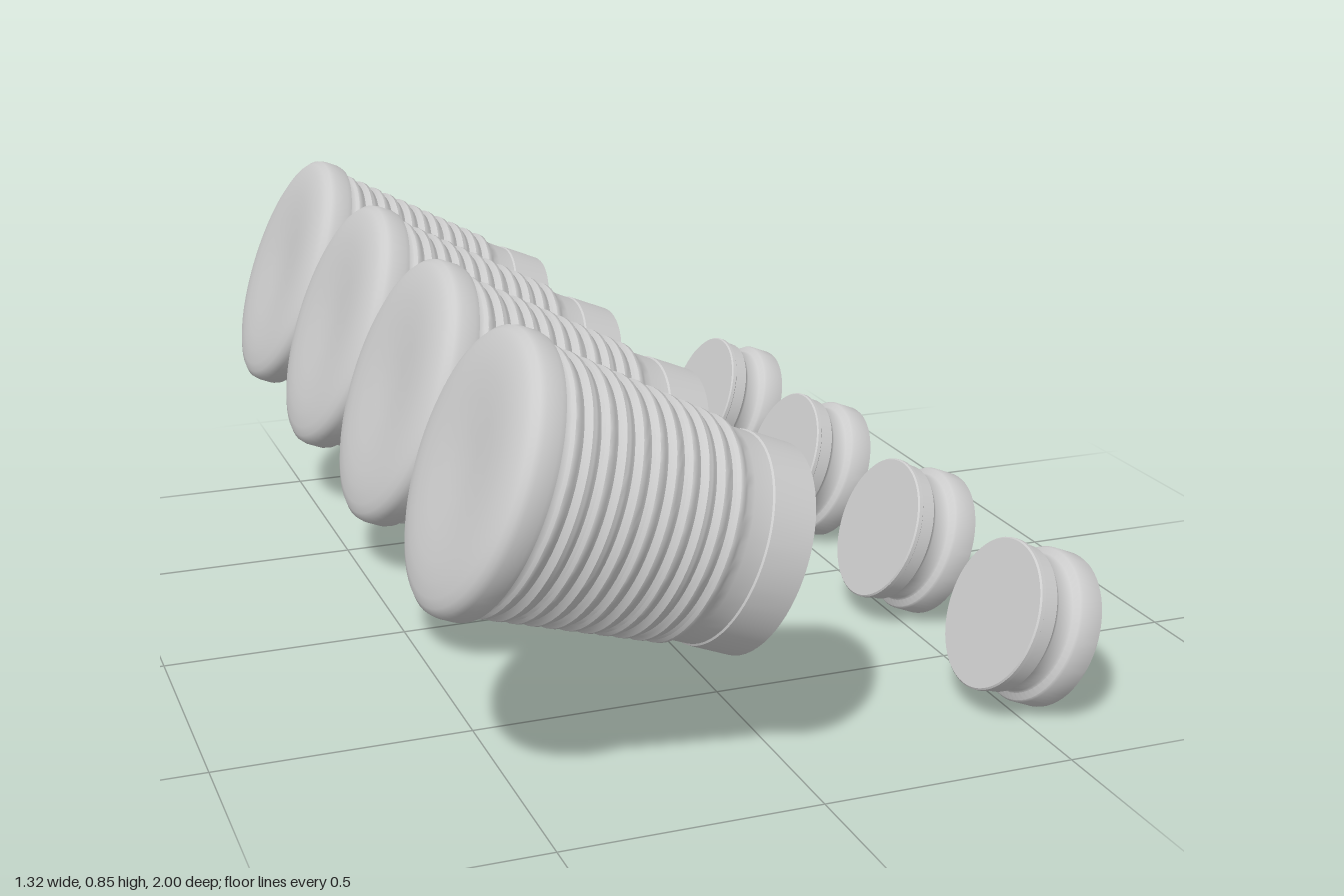
import * as THREE from 'three';
import { toCreasedNormals } from 'three/addons/utils/BufferGeometryUtils.js';

const SEGMENTS = 64;
const TILT = THREE.MathUtils.degToRad(68);

// Revolve [radius, height] pairs, keeping hard steps sharp
function turn(profile) {
  const points = profile.map(([r, y]) => new THREE.Vector2(r, y));
  return toCreasedNormals(new THREE.LatheGeometry(points, SEGMENTS), 0.6);
}

// Ribbed wall, widening from the collar towards the rim
function ribs(offset) {
  const count = 11, steps = 5, start = 0.14, end = 0.515, points = [];
  for (let i = 0; i <= count * steps; i++) {
    const u = i / (count * steps);
    const swell = 0.5 - 0.5 * Math.cos((i / steps) * Math.PI * 2);
    points.push([0.202 + 0.038 * u + 0.008 * swell - offset, start + (end - start) * u]);
  }
  return points;
}

// Cup: local y runs from the open mouth (0) to the closed end
function cupProfile() {
  const wall = 0.01;
  const inside = [
    [0, 0.575], [0.12, 0.58], [0.19, 0.577], [0.23, 0.565], [0.246, 0.545], [0.243, 0.525],
    ...ribs(wall).reverse(),
    [0.189, 0.125], [0.188, 0.088], [0.191, 0.085], [0.191, 0],
  ];
  const outside = [
    [0.2, 0], [0.201, 0.085], [0.198, 0.088], [0.199, 0.125],
    ...ribs(0),
    [0.242, 0.522], [0.257, 0.525], [0.26, 0.535], [0.26, 0.562], [0.257, 0.574],
    [0.247, 0.583], [0.23, 0.59], [0.2, 0.595], [0.17, 0.597], [0.12, 0.595],
    [0.06, 0.59], [0, 0.587],
  ];
  return [...inside, ...outside];
}

// Plug: solid stopper with a groove around its waist
const plugProfile = [
  [0, 0], [0.153, 0], [0.154, 0.004], [0.154, 0.046], [0.151, 0.051], [0.138, 0.057],
  [0.135, 0.062], [0.135, 0.088], [0.138, 0.094], [0.145, 0.1], [0.146, 0.128],
  [0.15, 0.131], [0.15, 0.139], [0.147, 0.142], [0, 0.142],
];

export function createModel() {
  const model = new THREE.Group();
  const grey = new THREE.MeshStandardMaterial({ color: 0xcccccc });
  grey.name = 'light grey';

  const cupGeometry = turn(cupProfile());
  const plugGeometry = turn(plugProfile);

  // Four cups in a row, each with a plug in front of its mouth
  for (let i = 0; i < 4; i++) {
    const z = -0.74 + i * (1.48 / 3);
    const cup = new THREE.Mesh(cupGeometry, grey);
    cup.name = `cup${i + 1}`;
    cup.position.set(-0.03, 0.4, z);
    cup.rotation.z = TILT;

    const plug = new THREE.Mesh(plugGeometry, grey);
    plug.name = `plug${i + 1}`;
    plug.position.set(0.598, 0.146, z);
    plug.rotation.z = TILT;
    model.add(cup, plug);
  }
  return model;
}
